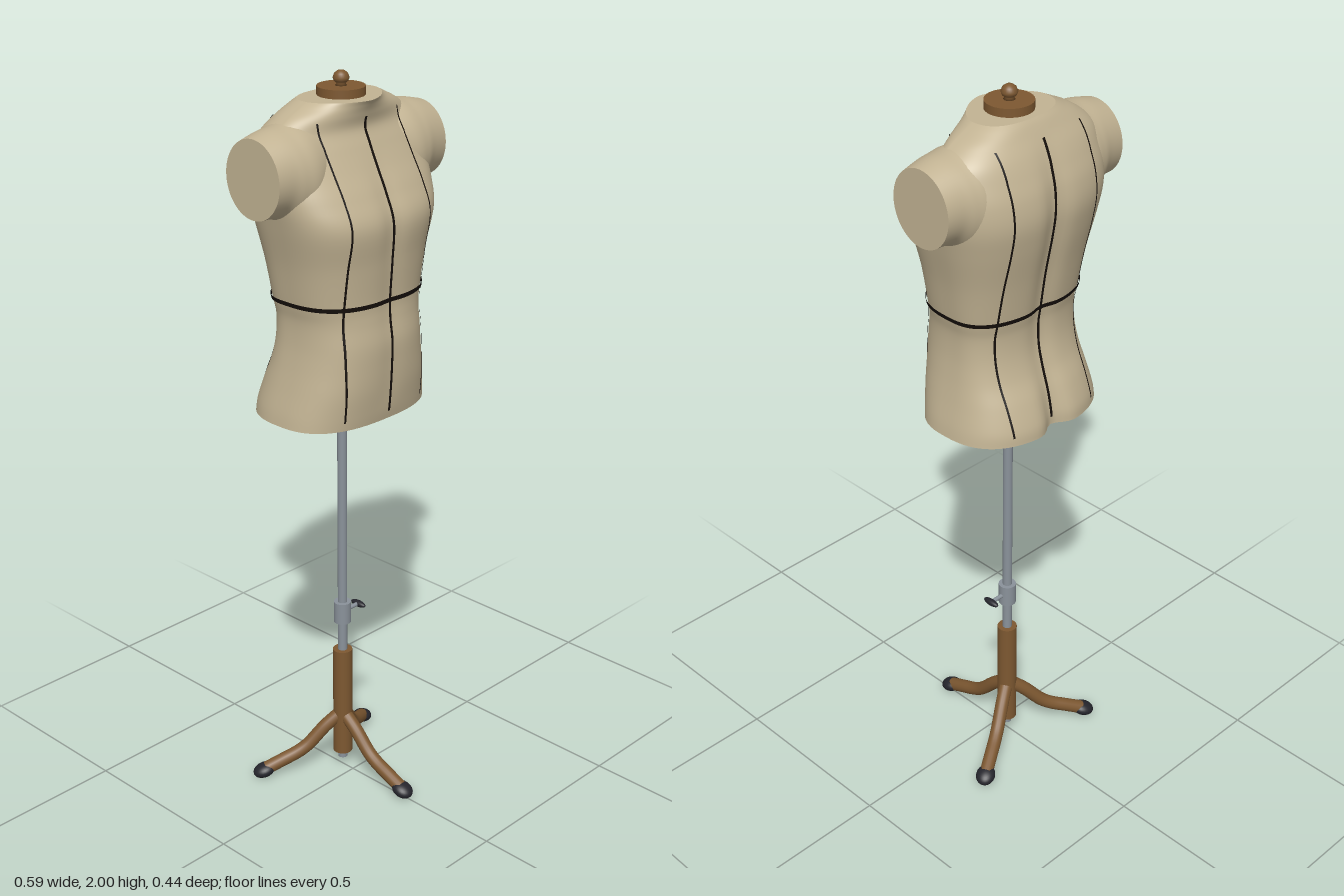
import * as THREE from 'three';

const material = (name, color, side = THREE.FrontSide) =>
  Object.assign(new THREE.MeshStandardMaterial({ color, side }), { name });

const AXIS_Z = -0.04; // stand axis, also the middle of every torso section
const SEGMENTS = 96;

// Torso sections: y, half width, front z, back z, front squareness, front crease, back crease
const ROWS = [
  [1.125, 0.23, 0.12, -0.222, 2.6, 0, 0.03],
  [1.16, 0.224, 0.126, -0.218, 2.6, 0, 0.028],
  [1.22, 0.21, 0.134, -0.197, 2.7, 0.003, 0.02],
  [1.28, 0.198, 0.138, -0.17, 2.7, 0.004, 0.012],
  [1.34, 0.19, 0.139, -0.155, 2.7, 0.004, 0.012],
  [1.4, 0.189, 0.132, -0.152, 2.7, 0.005, 0.012],
  [1.45, 0.198, 0.13, -0.16, 2.7, 0.005, 0.013],
  [1.55, 0.214, 0.138, -0.178, 2.7, 0.006, 0.016],
  [1.65, 0.237, 0.147, -0.2, 2.8, 0.011, 0.018],
  [1.72, 0.252, 0.118, -0.21, 2.7, 0.008, 0.018],
  [1.78, 0.255, 0.083, -0.203, 2.5, 0.003, 0.014],
  [1.83, 0.248, 0.056, -0.185, 2.2, 0, 0.008],
  [1.87, 0.234, 0.038, -0.166, 1.8, 0, 0.004],
  [1.905, 0.19, 0.044, -0.144, 1.7, 0, 0],
  [1.928, 0.145, 0.053, -0.13, 1.6, 0, 0],
  [1.94, 0.12, 0.06, -0.12, 1.6, 0, 0],
];

// Smooth interpolation between table rows at fractional index t
function sample(rows, t) {
  const last = rows.length - 1;
  const i = Math.min(Math.floor(t), last - 1);
  const f = t - i;
  const [a, b, c, d] = [i - 1, i, i + 1, i + 2].map((k) => rows[THREE.MathUtils.clamp(k, 0, last)]);
  return b.map((v, k) => v + 0.5 * f * (c[k] - a[k] +
    f * (2 * a[k] - 5 * v + 4 * c[k] - d[k] + f * (3 * (v - c[k]) + d[k] - a[k]))));
}

// Surface depth of a torso section at x, on the front (side 1) or back (side -1)
function depth([, w, front, back, squareness, frontCrease, backCrease], x, side) {
  const n = side > 0 ? squareness : 2.6;
  const reach = side > 0 ? front - AXIS_Z : AXIS_Z - back;
  const crease = side > 0 ? frontCrease : backCrease;
  const u = Math.min(Math.abs(x) / w, 1);
  return AXIS_Z + side * (reach * (1 - u ** n) ** (1 / n) - crease * Math.exp(-((x / 0.035) ** 2)));
}

function torsoRing(t, grow = 0) {
  const row = sample(ROWS, t);
  row[1] += grow;
  row[2] += grow;
  row[3] -= grow;
  return Array.from({ length: SEGMENTS }, (_, j) => {
    const angle = (j / SEGMENTS) * Math.PI * 2;
    const x = row[1] * Math.cos(angle);
    return [x, row[0], depth(row, x, j < SEGMENTS / 2 ? 1 : -1)];
  });
}

// Skin a stack of closed rings, with optional flat caps
function loft(rings, capStart, capEnd) {
  const n = rings[0].length;
  const points = rings.flat();
  const index = [];
  for (let i = 0; i < rings.length - 1; i++) {
    for (let j = 0; j < n; j++) {
      const k = (j + 1) % n;
      const [a, b, c, d] = [i * n + j, i * n + k, (i + 1) * n + j, (i + 1) * n + k];
      index.push(a, c, b, b, c, d);
    }
  }
  const cap = (ring, flip) => {
    const start = points.length;
    const centre = [0, 1, 2].map((k) => ring.reduce((sum, p) => sum + p[k], 0) / n);
    points.push(...ring, centre);
    for (let j = 0; j < n; j++) {
      const k = (j + 1) % n;
      index.push(start + n, start + (flip ? k : j), start + (flip ? j : k));
    }
  };
  if (capStart) cap(rings[0], false);
  if (capEnd) cap(rings[rings.length - 1], true);
  const geometry = new THREE.BufferGeometry();
  geometry.setAttribute('position', new THREE.Float32BufferAttribute(points.flat(), 3));
  geometry.setIndex(index);
  geometry.computeVertexNormals();
  return geometry;
}

// Thin strip running up the torso at a fixed x
function seam(x, side, halfWidth) {
  const points = [];
  const index = [];
  const steps = 70;
  for (let i = 0; i <= steps; i++) {
    const row = sample(ROWS, 0.75 + (12 * i) / steps);
    for (const px of [x - halfWidth, x + halfWidth]) {
      points.push(px, row[0] + (i > 60 ? 0.002 : 0), depth(row, px, side) + side * 0.004);
    }
    const a = i * 2;
    if (i < steps) index.push(a, a + 1, a + 2, a + 1, a + 3, a + 2);
  }
  const geometry = new THREE.BufferGeometry();
  geometry.setAttribute('position', new THREE.Float32BufferAttribute(points, 3));
  geometry.setIndex(side > 0 ? index : index.reverse());
  geometry.computeVertexNormals();
  return geometry;
}

// Arm stub sections along x: x, centre y, half height, centre z, half depth
const ARM = [
  [0.1, 1.79, 0.1, -0.05, 0.09],
  [0.17, 1.767, 0.134, -0.05, 0.115],
  [0.215, 1.774, 0.122, -0.048, 0.11],
  [0.25, 1.784, 0.107, -0.047, 0.1],
  [0.295, 1.78, 0.1, -0.047, 0.093],
];

function armStub(side) {
  const rings = [];
  for (let i = 0; i <= 24; i++) {
    const [x, cy, ry, cz, rz] = sample(ARM, i / 6);
    rings.push(Array.from({ length: 48 }, (_, j) => {
      const angle = (j / 48) * Math.PI * 2;
      return [side * x, cy + ry * Math.cos(angle), cz - side * rz * Math.sin(angle)];
    }));
  }
  return loft(rings, false, true);
}

export function createModel() {
  const model = new THREE.Group();
  model.name = 'dressForm';
  const fabric = material('fabric', 0xc2b393);
  const thread = material('seamThread', 0x140e0a, THREE.DoubleSide);
  const wood = material('wood', 0x7d5831);
  const metal = material('metal', 0x8a929a);
  const rubber = material('rubber', 0x25252c);

  const add = (name, geometry, mat, parent = model) => {
    const mesh = new THREE.Mesh(geometry, mat);
    mesh.name = name;
    parent.add(mesh);
    return mesh;
  };

  // Torso and arm stubs
  const rings = Array.from({ length: 91 }, (_, i) => torsoRing(i / 6));
  add('torso', loft(rings, true, true), fabric);
  add('leftArmStub', armStub(1), fabric);
  add('rightArmStub', armStub(-1), fabric);

  // Seam lines and waist line
  for (const [label, side] of [['front', 1], ['back', -1]]) {
    for (const x of [-0.14, 0, 0.14]) add(`${label}Seam`, seam(x, side, x ? 0.0025 : 0.004), thread);
  }
  add('waistLine', loft([torsoRing(5.9, 0.004), torsoRing(6, 0.004), torsoRing(6.06, 0.004)]), thread);

  // Stand on its own axis
  const stand = new THREE.Group();
  stand.name = 'stand';
  stand.position.z = AXIS_Z;
  model.add(stand);
  const rod = (name, radius, bottom, top, mat) => {
    const mesh = add(name, new THREE.CylinderGeometry(radius, radius, top - bottom, 32), mat, stand);
    mesh.position.y = (bottom + top) / 2;
    return mesh;
  };
  rod('pole', 0.013, 0.028, 1.14, metal);
  rod('heightCollar', 0.024, 0.468, 0.53, metal);
  rod('woodenSleeve', 0.027, 0.05, 0.38, wood);

  // Tightening screw
  const stem = add('screwStem', new THREE.CylinderGeometry(0.006, 0.006, 0.04, 16), metal, stand);
  stem.rotation.z = Math.PI / 2;
  stem.position.set(0.04, 0.498, 0);
  const wing = add('screwWing', new THREE.SphereGeometry(1, 20, 12), rubber, stand);
  wing.scale.set(0.01, 0.009, 0.026);
  wing.position.set(0.063, 0.498, 0);

  // Neck cap and finial
  rod('neckCap', 0.061, 1.938, 1.962, wood);
  const finial = [[0, 1.96], [0.016, 1.96], [0.011, 1.967], [0.018, 1.973], [0.021, 1.981],
    [0.017, 1.992], [0.009, 1.998], [0, 2]].map(([x, y]) => new THREE.Vector2(x, y));
  add('finial', new THREE.LatheGeometry(finial, 32), wood, stand);

  // Three bent legs with rubber feet
  const legPath = new THREE.CatmullRomCurve3(
    [[0.008, 0.172], [0.05, 0.138], [0.105, 0.082], [0.135, 0.063], [0.175, 0.046], [0.225, 0.025]]
      .map(([r, y]) => new THREE.Vector3(0, y, r)));
  for (let i = 0; i < 3; i++) {
    const leg = new THREE.Group();
    leg.name = 'leg';
    leg.rotation.y = (i * Math.PI * 2) / 3;
    stand.add(leg);
    add('legTube', new THREE.TubeGeometry(legPath, 32, 0.019, 16), wood, leg);
    const foot = add('foot', new THREE.SphereGeometry(1, 24, 16), rubber, leg);
    foot.scale.set(0.027, 0.019, 0.032);
    foot.rotation.x = 0.3;
    foot.position.set(0, 0.021, 0.232);
  }
  return model;
}
